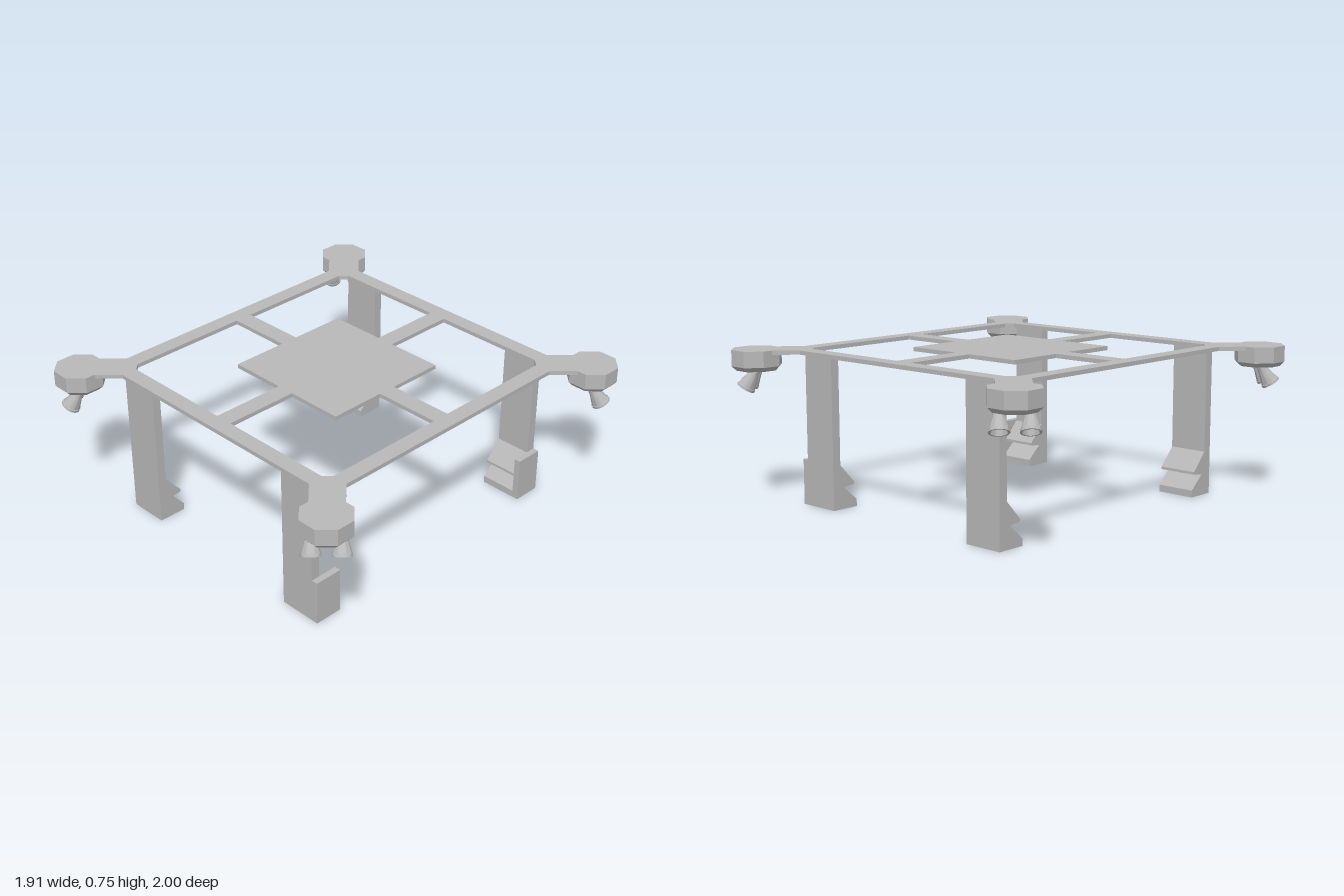
import * as THREE from 'three';
import { toCreasedNormals } from 'three/addons/utils/BufferGeometryUtils.js';

const TOP = 0.75, THICK = 0.02;
const SIGNS = [[1, 1], [-1, 1], [-1, -1], [1, -1]];

const points = (list, sx = 1, sy = 1) => list.map(([x, y]) => new THREE.Vector2(x * sx, y * sy));

export function createModel() {
  const model = new THREE.Group();
  model.name = 'quadFrame';
  const grey = new THREE.MeshStandardMaterial({ color: 0xb8b8b8 });
  grey.name = 'plain grey';

  const add = (geometry, name, parent = model) => {
    const mesh = new THREE.Mesh(geometry, grey);
    mesh.name = name;
    parent.add(mesh);
    return mesh;
  };

  // Flat frame: ring, diagonal arms, cross bars and centre plate in one cut sheet
  const corner = [[0.742, 0.671], [0.875, 0.804], [0.765, 0.914], [0.632, 0.781]];
  const outline = SIGNS.flatMap(([sx, sz]) => {
    const p = points(corner, sx, sz);
    return sx * sz > 0 ? p : p.reverse();
  });
  const sheet = new THREE.Shape(outline);
  const opening = [[0.045, 0.33], [0.33, 0.33], [0.33, 0.045], [0.662, 0.045],
    [0.662, 0.668], [0.627, 0.703], [0.045, 0.703]];
  for (const [sx, sz] of SIGNS) sheet.holes.push(new THREE.Path(points(opening, sx, sz)));
  const frame = new THREE.ExtrudeGeometry(sheet, { depth: THICK, bevelEnabled: false });
  frame.rotateX(Math.PI / 2).translate(0, TOP, 0);
  add(frame, 'frame');

  // Legs: a thin post with two ratchet teeth on the inner side of the foot
  const legProfile = [[0.759, 0], [0.759, TOP - THICK], [0.715, TOP - THICK], [0.715, 0.215],
    [0.632, 0.125], [0.632, 0.112], [0.695, 0.105], [0.617, 0.035], [0.617, 0]];
  const extrudeAlongX = (profile, sz, xMin, xMax) =>
    new THREE.ExtrudeGeometry(new THREE.Shape(points(profile, sz, 1)),
      { depth: xMax - xMin, bevelEnabled: false })
      .rotateY(-Math.PI / 2).translate(xMax, 0, 0);

  for (const sz of [1, -1]) {
    const end = sz > 0 ? 'front' : 'back';
    add(extrudeAlongX(legProfile, sz, -0.641, -0.443), end + 'RightLeg');
    add(extrudeAlongX(legProfile, sz, 0.434, 0.619), end + 'LeftLeg');
    // Closing wall beside the teeth
    const wall = new THREE.BoxGeometry(0.032, 0.222, 0.142);
    wall.translate(0.635, 0.111, sz * 0.688);
    add(wall, end + 'LeftFootWall');
  }

  // Octagonal pods with a tapered underside
  const octagon = (rTop, rBottom, yTop, yBottom) => {
    const g = new THREE.CylinderGeometry(rTop, rBottom, yTop - yBottom, 8);
    g.rotateY(Math.PI / 8).translate(0, (yTop + yBottom) / 2, 0);
    return toCreasedNormals(g, 0.3);
  };
  const podBody = octagon(0.1225, 0.1225, TOP, 0.672);
  const podBase = octagon(0.1225, 0.101, 0.672, 0.65);

  // Hollow flared nozzle, mouth at the origin and axis up
  const nozzle = toCreasedNormals(new THREE.LatheGeometry(points([
    [0, 0.085], [0.013, 0.085], [0.022, 0.055], [0.038, 0], [0.045, 0],
    [0.045, 0.012], [0.042, 0.014], [0.027, 0.065], [0.021, 0.09], [0.021, 0.135], [0, 0.135],
  ]), 28), 0.6);
  const mouths = [[0.078, -0.012], [-0.012, 0.08]];
  const up = new THREE.Vector3(0, 1, 0);

  for (const [sx, sz] of SIGNS) {
    const pod = new THREE.Group();
    pod.name = (sz > 0 ? 'front' : 'back') + (sx > 0 ? 'Left' : 'Right') + 'Pod';
    pod.position.set(sx * 0.837, 0, sz * 0.877);
    add(podBody, 'podBody', pod);
    add(podBase, 'podBase', pod);
    const axis = new THREE.Vector3(-0.042 * sx, 0.095, -0.04 * sz).normalize();
    for (const [x, z] of mouths) {
      const mesh = add(nozzle, 'nozzle', pod);
      mesh.position.set(sx * x, 0.57, sz * z);
      mesh.quaternion.setFromUnitVectors(up, axis);
    }
    model.add(pod);
  }
  return model;
}
